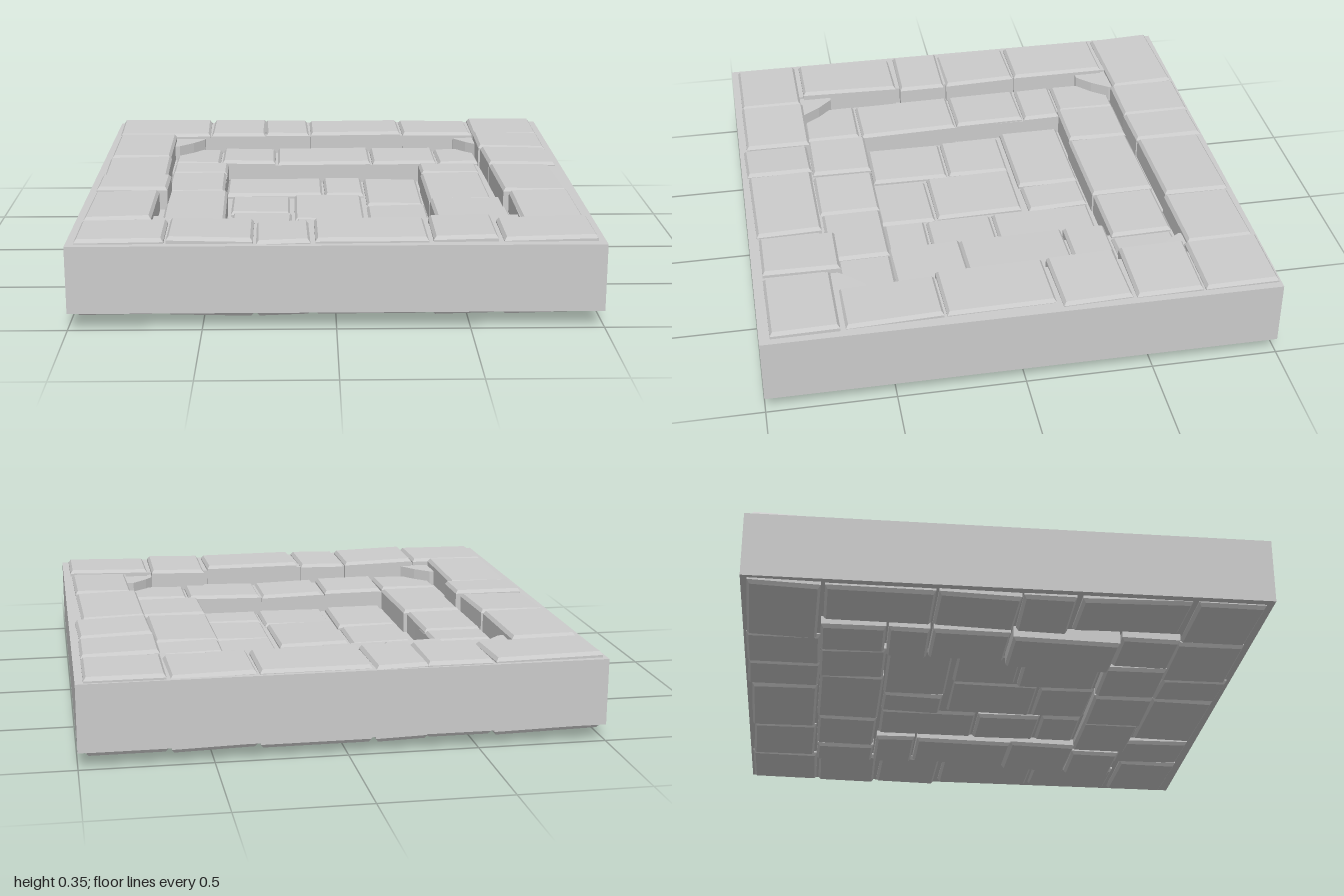
import * as THREE from 'three';

// Stones of each ring: [x0, z0, x1, z1, turn in degrees]
const outerStones = [
  // back row
  [-0.98, -0.98, -0.56, -0.71, 1.5], [-0.55, -0.99, -0.3, -0.7, 0], [-0.3, -0.99, -0.1, -0.7, 2],
  [-0.09, -0.98, 0.33, -0.71, 1], [0.34, -0.98, 0.66, -0.71, 1.5], [0.67, -0.99, 0.97, -0.7, 0],
  // left column
  [0.67, -0.69, 0.97, -0.43, 0], [0.68, -0.41, 0.97, -0.14, 2], [0.69, -0.12, 0.95, 0.3, 1.5],
  [0.72, 0.31, 0.96, 0.68, 1],
  // front row
  [0.62, 0.7, 0.97, 0.96, 0.5], [0.36, 0.66, 0.6, 0.96, 0], [-0.08, 0.71, 0.34, 0.97, 1],
  [-0.3, 0.71, -0.1, 0.98, 1.5], [-0.63, 0.7, -0.31, 0.97, 0.5], [-0.97, 0.71, -0.64, 0.97, 0.5],
  // right column
  [-0.97, 0.27, -0.71, 0.69, 0.5], [-0.97, 0.05, -0.68, 0.25, -0.5], [-0.97, -0.27, -0.7, 0.04, 1],
  [-0.97, -0.69, -0.71, -0.28, 0.5],
];
const middleStones = [
  [-0.7, -0.7, -0.5, -0.45, 0], [-0.49, -0.7, -0.25, -0.44, 0.5], [-0.24, -0.7, 0.18, -0.44, 1],
  [0.19, -0.7, 0.48, -0.45, 1], [0.49, -0.7, 0.67, -0.45, 1.5],
  [0.4, -0.44, 0.66, -0.27, 1], [0.4, -0.26, 0.66, 0.16, 1], [0.41, 0.16, 0.71, 0.45, 1.5],
  [0.46, 0.45, 0.72, 0.66, 0], [0.13, 0.45, 0.45, 0.69, 0.5], [-0.15, 0.45, 0.12, 0.7, 0.5],
  [-0.43, 0.45, -0.17, 0.7, 0], [-0.69, 0.47, -0.44, 0.7, 0],
  [-0.69, 0.04, -0.44, 0.46, 1], [-0.7, -0.27, -0.46, 0.03, 1], [-0.7, -0.44, -0.46, -0.28, 0],
];
const innerStones = [
  [-0.46, -0.43, -0.04, -0.17, 0.5], [-0.03, -0.43, 0.14, -0.18, 1.5], [0.15, -0.43, 0.39, -0.02, 0.5],
  [-0.43, -0.15, -0.18, 0.11, 0.5], [-0.16, -0.15, 0.13, 0.21, 0.7], [0.15, -0.01, 0.4, 0.26, 0.5],
  [0.15, 0.27, 0.4, 0.44, 0], [-0.15, 0.22, 0.14, 0.45, 0.7], [-0.42, 0.12, -0.17, 0.44, 0],
];

export function createModel() {
  const model = new THREE.Group();
  const material = new THREE.MeshStandardMaterial({ color: 0xcccccc, flatShading: true });

  let seed = 11;
  const vary = (amount) => {
    seed = (seed * 16807) % 2147483647;
    return (seed / 2147483647 * 2 - 1) * amount;
  };

  const add = (parent, name, geometry) => {
    const mesh = new THREE.Mesh(geometry, material);
    mesh.name = name;
    parent.add(mesh);
    return mesh;
  };

  // Upright prism from a plan outline of [x, z] points, with an optional square hole
  const prism = (points, y0, y1, hole = 0) => {
    const shape = new THREE.Shape(points.map(([x, z]) => new THREE.Vector2(x, -z)));
    if (hole) shape.holes.push(new THREE.Path(square(hole).map(([x, z]) => new THREE.Vector2(x, z))));
    const geometry = new THREE.ExtrudeGeometry(shape, { depth: y1 - y0, bevelEnabled: false });
    return geometry.rotateX(-Math.PI / 2).translate(0, y0, 0);
  };
  const square = (r) => [[-r, r], [r, r], [r, -r], [-r, -r]];

  // Block with chamfered top and bottom rims and slightly sloping faces
  const stone = ([x0, z0, x1, z1, turn], bottom, top) => {
    const w = x1 - x0, d = z1 - z0, inset = 0.01, rim = 0.014;
    const geometry = new THREE.BoxGeometry(w, 3, d, 1, 3, 1);
    const p = geometry.attributes.position;
    const levels = [bottom, bottom + rim, top - rim, top];
    const slopeX = vary(0.025), slopeZ = vary(0.025);
    for (let i = 0; i < p.count; i++) {
      const row = Math.round(p.getY(i) + 1.5);
      const cut = row === 0 || row === 3 ? inset : 0;
      const x = p.getX(i), z = p.getZ(i);
      const y = levels[row] + slopeX * x + slopeZ * z;
      p.setXYZ(i, x - Math.sign(x) * cut, Math.max(0, y), z - Math.sign(z) * cut);
    }
    geometry.rotateY(THREE.MathUtils.degToRad(turn));
    return geometry.translate((x0 + x1) / 2, 0, (z0 + z1) / 2);
  };

  // Mortar bed, stepping down towards the middle
  const bed = new THREE.Group();
  bed.name = 'mortarBed';
  add(bed, 'outerBed', prism(square(1), 0.065, 0.325, 0.72));
  add(bed, 'middleBed', prism(square(0.72), 0.065, 0.25, 0.46));
  add(bed, 'innerBed', prism(square(0.46), 0.065, 0.175));
  model.add(bed);

  // Three rings of paving
  const rings = [
    ['outerRing', outerStones, 0.044, 0.344],
    ['middleRing', middleStones, 0.022, 0.27],
    ['innerRing', innerStones, 0.05, 0.195],
  ];
  for (const [name, stones, bottom, top] of rings) {
    const ring = new THREE.Group();
    ring.name = name;
    stones.forEach((s, i) => {
      // one middle paver sits deepest and touches the ground
      const low = name === 'middleRing' && i === 13 ? 0.003 : bottom + vary(0.005);
      add(ring, 'pavingStone', stone(s, low, top + vary(0.005)));
    });
    model.add(ring);
  }

  // Broken chips filling the corners of the outer step
  const chip = [[0.73, 0.73], [0.73, 0.57], [0.69, 0.57], [0.63, 0.63], [0.58, 0.7], [0.58, 0.73]];
  for (const sx of [-1, 1]) {
    for (const sz of [-1, 1]) {
      add(model, 'cornerChip', prism(chip.map(([x, z]) => [x * sx, z * sz]), 0.2, 0.315));
    }
  }
  return model;
}
